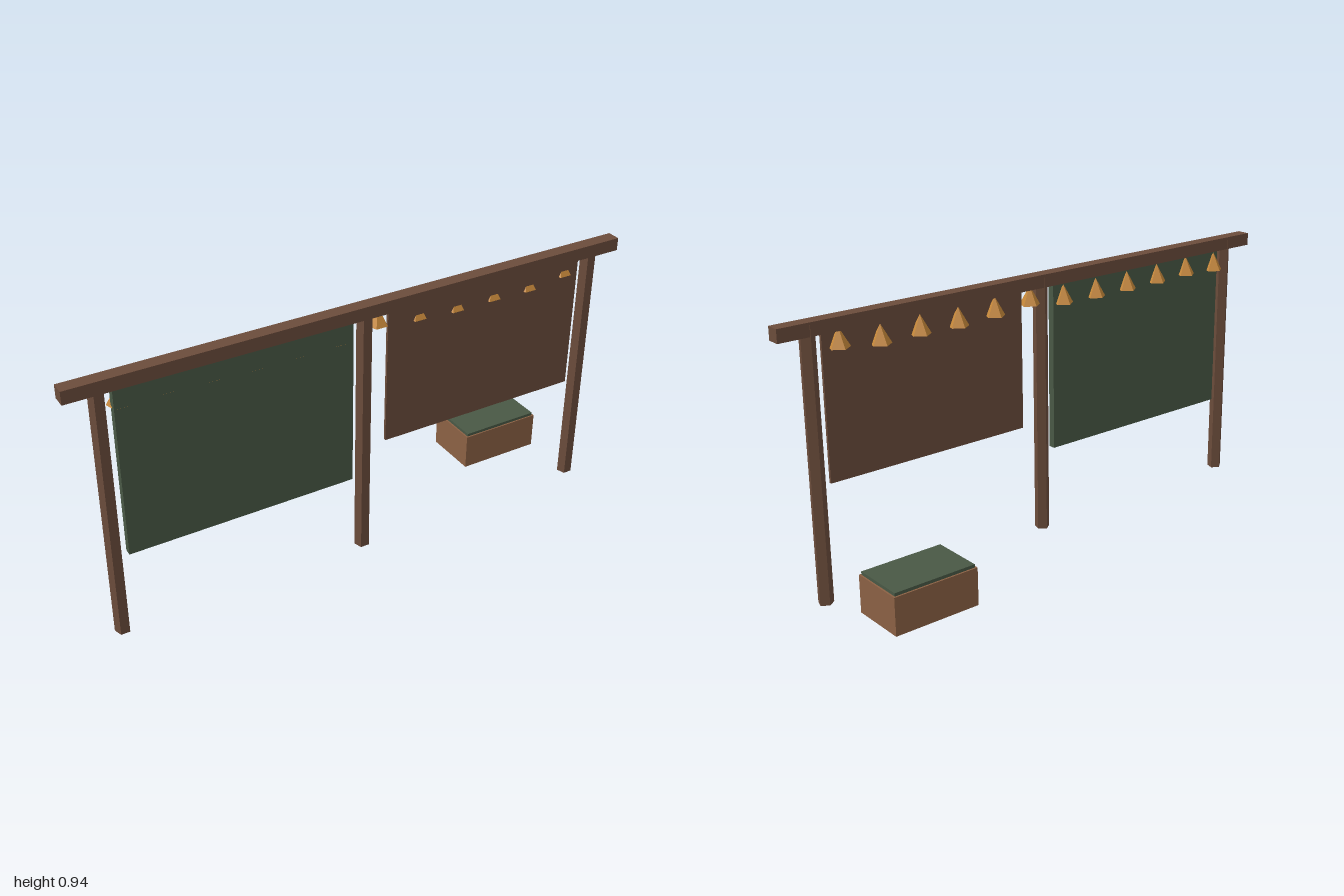
import * as THREE from 'three';

const material = (name, color) => {
  const m = new THREE.MeshStandardMaterial({ color, flatShading: true });
  m.name = name;
  return m;
};

export function createModel() {
  const model = new THREE.Group();
  model.name = 'marketScreen';
  const wood = material('dark wood', 0x6b4c3b);
  const crateWood = material('light wood', 0x8b6144);
  const green = material('green cloth', 0x495845);
  const amber = material('amber', 0xc5873a);

  const add = (name, geometry, mat, x, y, z) => {
    const mesh = new THREE.Mesh(geometry, mat);
    mesh.name = name;
    mesh.position.set(x, y, z);
    model.add(mesh);
    return mesh;
  };
  // Box given by its lower and upper corners
  const block = (name, mat, [x0, y0, z0], [x1, y1, z1]) =>
    add(name, new THREE.BoxGeometry(x1 - x0, y1 - y0, z1 - z0), mat,
      (x0 + x1) / 2, (y0 + y1) / 2, (z0 + z1) / 2);

  // Top beam
  block('beam', wood, [-1, 0.89, 0.148], [1, 0.935, 0.195]);

  // Five-sided posts, flat side to the front
  const postHeight = 0.925;
  const postGeometry = new THREE.CylinderGeometry(0.0265, 0.0265, postHeight, 5);
  postGeometry.rotateY(Math.PI);
  for (const x of [-0.89, 0, 0.89]) add('post', postGeometry, wood, x, postHeight / 2, 0.1735);

  // Hanging panels
  block('greenPanel', green, [-0.847, 0.295, 0.161], [-0.047, 0.9, 0.186]);
  block('brownPanel', wood, [0.085, 0.402, 0.168], [0.845, 0.9, 0.178]);

  // Row of small five-sided cones under the beam, hung at uneven heights
  const coneHeight = 0.065;
  const coneGeometry = new THREE.ConeGeometry(0.036, coneHeight, 5);
  coneGeometry.rotateY(Math.PI);
  const bottoms = [0.82, 0.826, 0.822, 0.819, 0.818, 0.82, 0.84, 0.828, 0.82, 0.822, 0.819, 0.837];
  bottoms.forEach((y, i) =>
    add('hangingCone', coneGeometry, amber, -0.822 + i * 0.1467, y + coneHeight / 2, 0.157));

  // Crate with a cloth-covered lid
  block('crate', crateWood, [0.555, 0.025, -0.193], [0.862, 0.156, 0.005]);
  block('crateLid', green, [0.561, 0.156, -0.187], [0.856, 0.167, 0]);

  return model;
}
